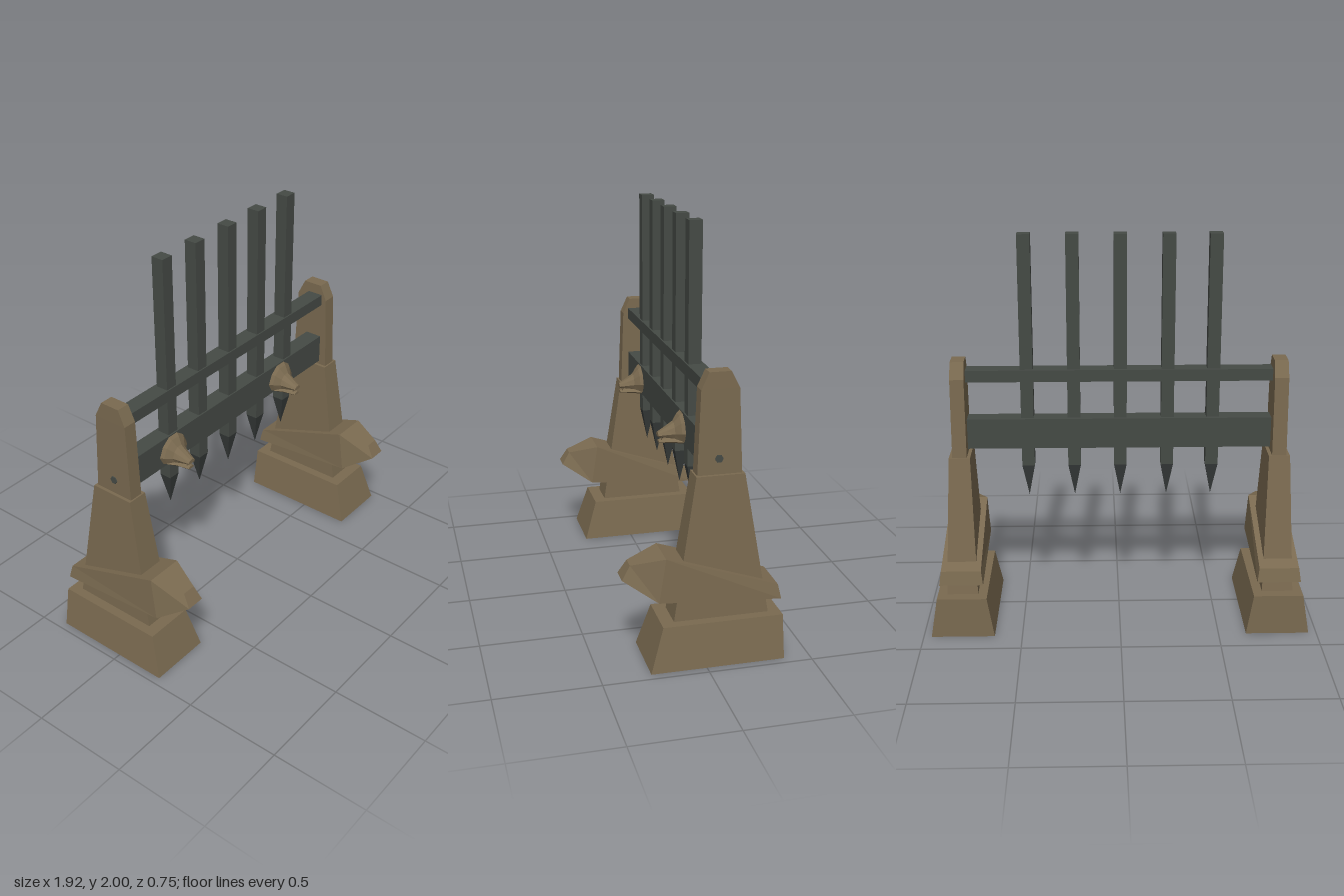
import * as THREE from 'three';

const stone = new THREE.MeshStandardMaterial({ name: 'brownStone', color: 0x7a6a50, side: THREE.DoubleSide, flatShading: true });
const iron = new THREE.MeshStandardMaterial({ name: 'darkIron', color: 0x454a45, flatShading: true });
const tipIron = new THREE.MeshStandardMaterial({ name: 'blackenedIron', color: 0x363a39, flatShading: true });

// Faceted skin over a row of rings, each counter-clockwise seen from the last end
function loft(rings, capStart = true) {
  const pos = [];
  const tri = (a, b, c) => pos.push(...a, ...b, ...c);
  const n = rings[0].length;
  for (let r = 0; r < rings.length - 1; r++) {
    const a = rings[r], b = rings[r + 1];
    for (let i = 0; i < n; i++) {
      const j = (i + 1) % n;
      tri(a[i], a[j], b[j]);
      tri(a[i], b[j], b[i]);
    }
  }
  const first = rings[0], last = rings[rings.length - 1];
  for (let i = 1; i < n - 1; i++) {
    tri(last[0], last[i], last[i + 1]);
    if (capStart) tri(first[0], first[i + 1], first[i]);
  }
  const g = new THREE.BufferGeometry();
  g.setAttribute('position', new THREE.Float32BufferAttribute(pos, 3));
  g.computeVertexNormals();
  return g;
}

// Horizontal rectangle: height, half width, back z, front z
const rect = ([y, w, z0, z1]) => [[-w, y, z1], [w, y, z1], [w, y, z0], [-w, y, z0]];

function add(parent, name, geometry, material, x = 0, y = 0, z = 0) {
  const m = new THREE.Mesh(geometry, material);
  m.name = name;
  m.position.set(x, y, z);
  parent.add(m);
  return m;
}

function makePost(side) {
  const g = new THREE.Group();
  g.name = side > 0 ? 'leftPost' : 'rightPost';
  g.position.x = side * 0.8;

  // Hollow foot, open underneath, with a straight back
  add(g, 'foot', loft([[0, 0.16, -0.375, 0.265], [0.21, 0.125, -0.375, 0.2]].map(rect), false), stone);
  add(g, 'lowerShaft', loft([[0.21, 0.078, -0.317, 0.138], [0.9, 0.053, -0.2, 0.03]].map(rect)), stone);
  add(g, 'upperShaft', loft([
    [0.9, 0.036, -0.19, 0.022], [1.3, 0.035, -0.173, 0.007], [1.38, 0.034, -0.133, -0.03],
  ].map(rect)), stone);

  // Slanted prow collar: bottom (half width, y, z), top (half width, y, z)
  const collar = [
    [0.11, 0.285, -0.37, 0.1, 0.355, -0.355],
    [0.106, 0.325, 0.215, 0.096, 0.535, 0.18],
    [0.048, 0.43, 0.375, 0.035, 0.495, 0.335],
  ].map(([wb, yb, zb, wt, yt, zt]) => [[-wb, yb, zb], [wb, yb, zb], [wt, yt, zt], [-wt, yt, zt]]);
  add(g, 'prowCollar', loft(collar), stone);

  // Bolt end on the outer face
  const bolt = add(g, 'bolt', new THREE.CylinderGeometry(0.02, 0.02, 0.008, 6), iron, side * 0.037, 0.975, -0.08);
  bolt.rotation.z = Math.PI / 2;
  return g;
}

// Beast head: dome-shaped skull narrowing to a muzzle, with jaw and fangs
function makeHead(x) {
  const g = new THREE.Group();
  g.name = 'beastHead';
  g.position.x = x;
  const section = (z, w, y0, y1) => {
    const h = y1 - y0;
    return [
      [-w * 0.75, y0, z], [w * 0.75, y0, z], [w, y0 + h * 0.35, z], [w * 0.75, y0 + h * 0.75, z],
      [w * 0.3, y1, z], [-w * 0.3, y1, z], [-w * 0.75, y0 + h * 0.75, z], [-w, y0 + h * 0.35, z],
    ];
  };
  add(g, 'skull', loft([
    section(-0.022, 0.1, 0.935, 1.07), section(-0.005, 0.085, 0.94, 1.055),
    section(0.02, 0.05, 0.945, 1.02), section(0.06, 0.037, 0.95, 0.995),
    section(0.097, 0.024, 0.953, 0.973),
  ]), stone);
  add(g, 'lowerJaw', loft([
    section(-0.022, 0.06, 0.92, 0.945), section(0.03, 0.034, 0.92, 0.945), section(0.093, 0.02, 0.921, 0.935),
  ]), stone);
  for (const s of [-1, 1]) {
    const fang = add(g, 'fang', new THREE.ConeGeometry(0.007, 0.022, 4), stone, s * 0.016, 0.944, 0.08);
    fang.rotation.x = Math.PI;
  }
  return g;
}

export function createModel() {
  const model = new THREE.Group();
  model.name = 'portcullisGate';

  for (const side of [-1, 1]) model.add(makePost(side));

  // Cross rails
  add(model, 'upperRail', new THREE.BoxGeometry(1.53, 0.06, 0.085), iron, 0, 1.297, -0.063);
  add(model, 'lowerRail', new THREE.BoxGeometry(1.53, 0.155, 0.09), iron, 0, 0.997, -0.065);

  // Upright bars with pyramid tips
  const tip = new THREE.ConeGeometry(0.032 * Math.SQRT2, 0.17, 4);
  tip.rotateY(Math.PI / 4);
  tip.rotateX(Math.PI);
  for (const x of [-0.47, -0.242, -0.005, 0.228, 0.462]) {
    add(model, 'bar', new THREE.BoxGeometry(0.064, 1.18, 0.064), iron, x, 1.41, -0.059);
    add(model, 'barTip', tip, tipIron, x, 0.735, -0.059);
  }

  for (const x of [-0.48, 0.394]) model.add(makeHead(x));
  return model;
}
